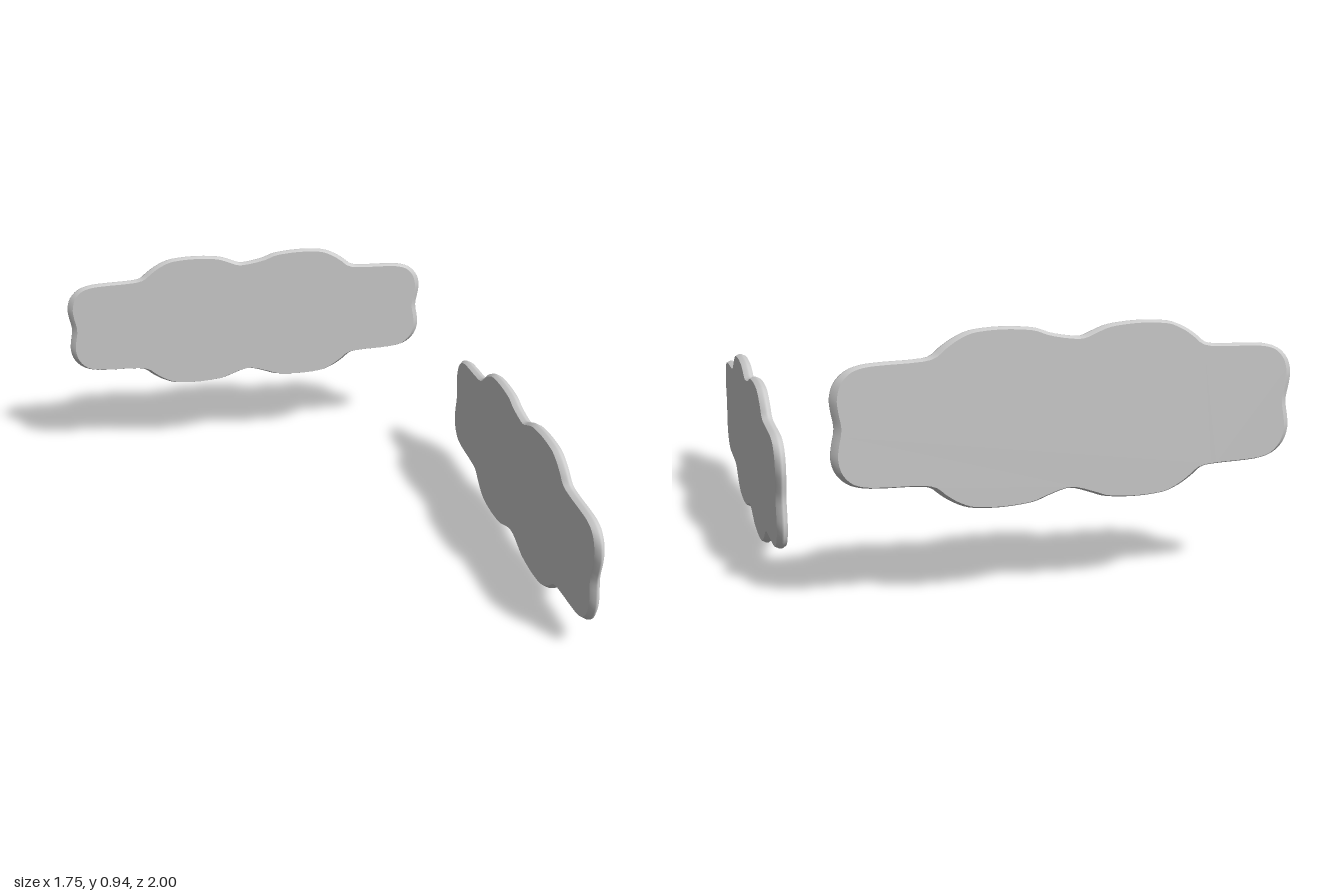
import * as THREE from 'three';
import { mergeGeometries } from 'three/addons/utils/BufferGeometryUtils.js';

// Upper right quarter of the scalloped outline, from the side notch to the middle notch
const QUARTER = [
  [0.807, 0.06], [0.81, 0.1], [0.796, 0.147], [0.76, 0.184], [0.71, 0.202], [0.64, 0.208],
  [0.54, 0.211], [0.485, 0.218], [0.45, 0.245], [0.41, 0.272], [0.357, 0.295], [0.31, 0.302],
  [0.245, 0.305], [0.18, 0.302], [0.12, 0.294], [0.07, 0.276],
];
const SIDE_NOTCH = 0.797;
const THICKNESS = 0.038;
const SEGMENTS = 192;

// Closed counter-clockwise outline with its outward normals
function outline() {
  const flip = (sx, sy) => QUARTER.map(([x, y]) => [x * sx, y * sy]);
  const points = [
    [SIDE_NOTCH, 0], ...flip(1, 1),
    [-0.01, 0.262], [-0.035, 0.262], ...flip(-1, 1).reverse(),
    [-SIDE_NOTCH, 0], ...flip(-1, -1),
    [0, -0.257], ...flip(1, -1).reverse(),
  ].map(([x, y]) => new THREE.Vector3(x, y, 0));
  const curve = new THREE.CatmullRomCurve3(points, true, 'centripetal');
  return Array.from({ length: SEGMENTS }, (_, i) => {
    const t = curve.getTangent(i / SEGMENTS);
    return { p: curve.getPoint(i / SEGMENTS), nx: t.y, ny: -t.x };
  });
}

function makeGeometry(positions, index) {
  const g = new THREE.BufferGeometry();
  g.setAttribute('position', new THREE.Float32BufferAttribute(positions, 3));
  g.setIndex(index);
  g.computeVertexNormals();
  return g;
}

function plaqueGeometry() {
  const loop = outline();
  // The bevel runs in further at the ends than along the top and bottom
  const inset = (k) => loop.map(({ p, nx, ny }) =>
    new THREE.Vector2(p.x - nx * 0.022 * k, p.y - ny * 0.007 * k));
  const h = THICKNESS / 2;

  // Bevelled rim: rings from back to front
  const rings = [[-h, 1], [-0.004, 0], [0.004, 0], [h, 1]];
  const positions = [];
  const index = [];
  rings.forEach(([z, k]) => inset(k).forEach((v) => positions.push(v.x, v.y, z)));
  for (let r = 0; r < rings.length - 1; r++) {
    for (let i = 0; i < SEGMENTS; i++) {
      const j = (i + 1) % SEGMENTS;
      const a = r * SEGMENTS + i, b = r * SEGMENTS + j;
      const c = a + SEGMENTS, d = b + SEGMENTS;
      index.push(a, b, d, a, d, c);
    }
  }
  const rim = makeGeometry(positions, index);

  // Flat front and back faces
  const face = inset(1);
  const triangles = THREE.ShapeUtils.triangulateShape(face, []);
  const cap = (z) => makeGeometry(
    face.flatMap((v) => [v.x, v.y, z]),
    triangles.flatMap(([a, b, c]) => (z > 0 ? [a, b, c] : [a, c, b])),
  );
  return mergeGeometries([rim, cap(h), cap(-h)]);
}

export function createModel() {
  const group = new THREE.Group();
  const geometry = plaqueGeometry();
  const material = new THREE.MeshStandardMaterial({ color: 0xcccccc });

  const back = new THREE.Mesh(geometry, material);
  back.name = 'backPlaque';
  back.position.set(-0.068, 0.635, -0.981);

  // Slightly larger plaque, lower and turned to face sideways
  const side = new THREE.Mesh(geometry, material);
  side.name = 'sidePlaque';
  side.position.set(0.853, 0.309, 0.178);
  side.rotation.y = Math.PI / 2;
  side.scale.setScalar(1.013);

  group.add(back, side);
  return group;
}
